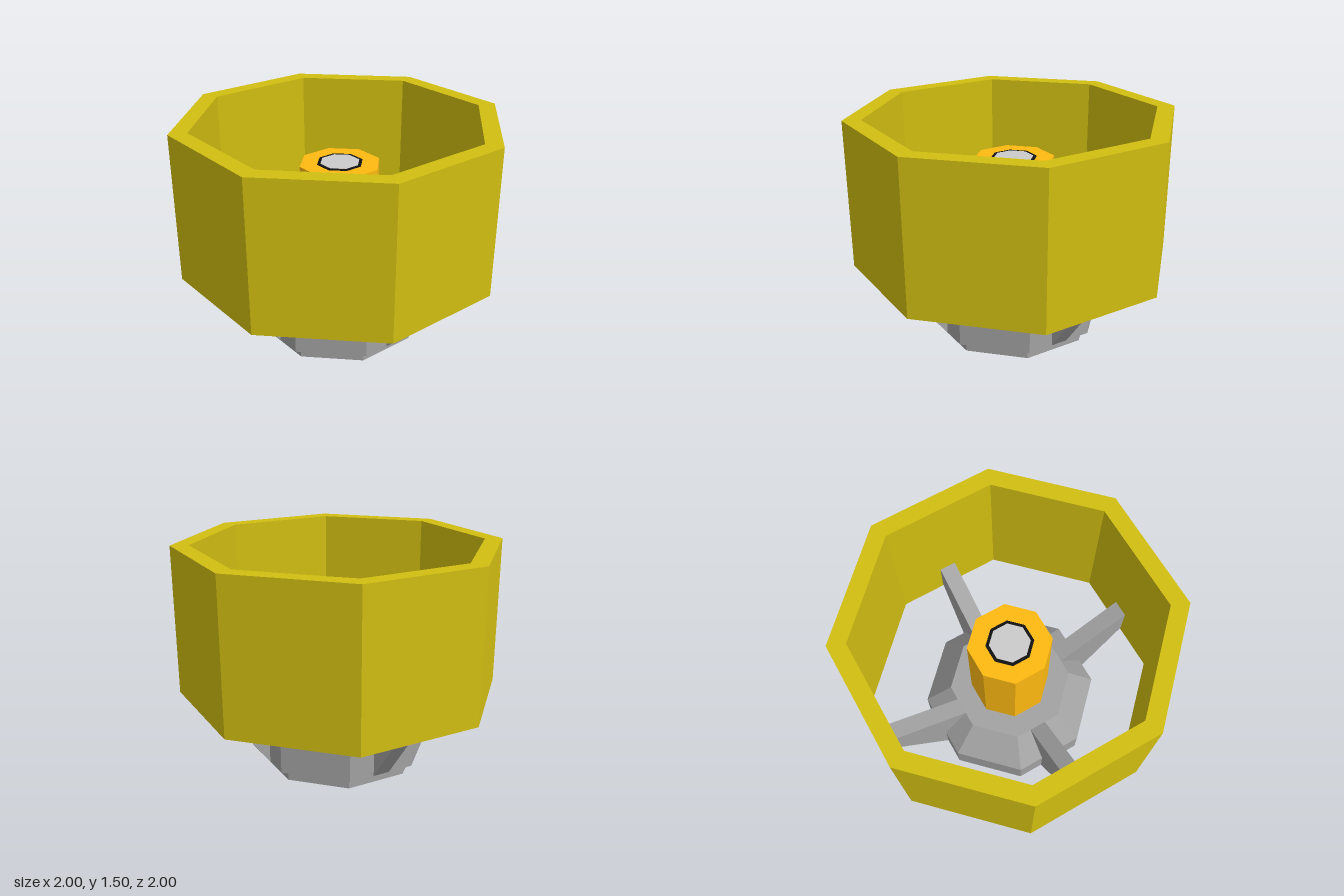
import * as THREE from 'three';

const K = 1 / Math.cos(Math.PI / 8); // apothem to corner radius

function mat(color) {
  return new THREE.MeshStandardMaterial({ color, flatShading: true, side: THREE.DoubleSide });
}

// Eight-sided turned part; profile is [apothem, y] pairs, flats face the axes
function octagon(name, profile, color) {
  const geo = new THREE.LatheGeometry(profile.map(([a, y]) => new THREE.Vector2(a * K, y)), 8);
  geo.rotateY(Math.PI / 8);
  const mesh = new THREE.Mesh(geo, mat(color));
  mesh.name = name;
  return mesh;
}

export function createModel() {
  const model = new THREE.Group();
  model.name = 'ringedThruster';
  const grey = 0xa2a2a2;

  // Open-bottomed base shell with a stepped foot and sloping shoulder
  model.add(octagon('baseShell',
    [[0.5, 0], [0.5, 0.08], [0.56, 0.08], [0.56, 0.29], [0.388, 0.5], [0, 0.5]], grey));

  // Outer ring
  model.add(octagon('outerRing',
    [[0.89, 0.5], [1, 0.5], [1, 1.5], [0.89, 1.5], [0.89, 0.5]], 0xd2be11));

  // Centre post with a dark collar and pale cap
  model.add(octagon('centrePost', [[0.25, 0.5], [0.25, 1.2], [0, 1.2]], 0xffba11));
  model.add(octagon('capCollar', [[0.142, 1.2], [0.142, 1.205], [0.12, 1.205], [0.12, 1.2]], 0x111111));
  model.add(octagon('postCap', [[0.122, 1.2], [0.122, 1.207], [0, 1.207]], 0xcccccc));

  // Four struts from the base to the ring
  const width = 0.115;
  const side = new THREE.Shape([[0.56, 0.08], [0.895, 0.53], [0.895, 0.75], [0.388, 0.5]]
    .map(([x, y]) => new THREE.Vector2(x, y)));
  const strutGeo = new THREE.ExtrudeGeometry(side, { depth: width, bevelEnabled: false });
  strutGeo.translate(0, 0, -width / 2);
  for (let i = 0; i < 4; i++) {
    const strut = new THREE.Mesh(strutGeo, mat(grey));
    strut.name = 'strut' + (i + 1);
    strut.rotation.y = i * Math.PI / 2;
    model.add(strut);
  }
  return model;
}
